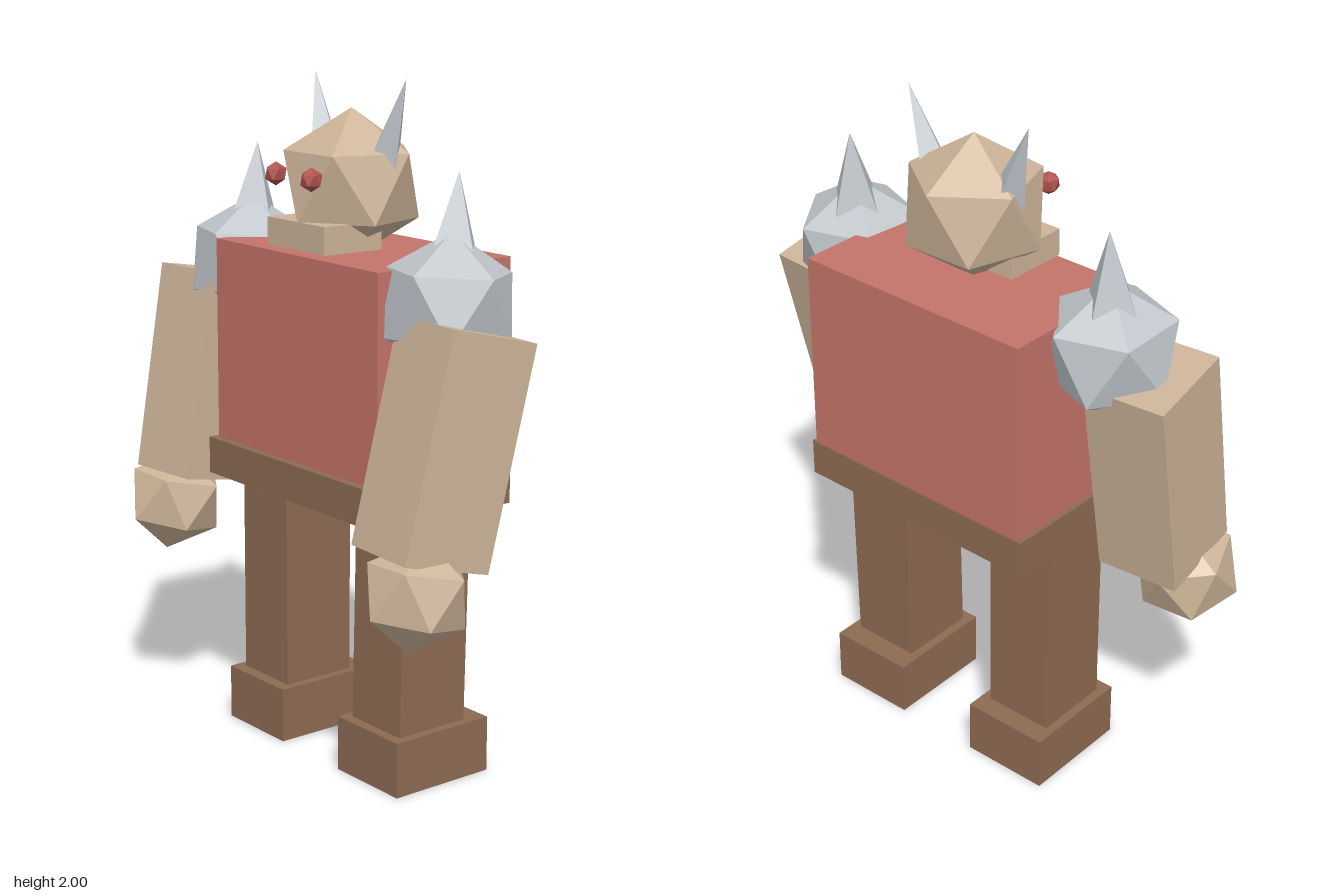
import * as THREE from 'three';

const mat = (name, color) => {
  const m = new THREE.MeshStandardMaterial({ color, flatShading: true });
  m.name = name;
  return m;
};

export function createModel() {
  const skin = mat('skin', 0xcdb499);
  const red = mat('tunicRed', 0xc4746a);
  const brown = mat('leatherBrown', 0x8e6b53);
  const steel = mat('steel', 0xc0c6cb);
  const eyeRed = mat('eyeRed', 0xb0524c);
  const model = new THREE.Group();
  model.name = 'ogre';

  const add = (name, geometry, material, pos) => {
    const mesh = new THREE.Mesh(geometry, material);
    mesh.name = name;
    mesh.position.set(...pos);
    model.add(mesh);
    return mesh;
  };

  const box = (name, material, size, pos, rx = 0, ry = 0) => {
    const mesh = add(name, new THREE.BoxGeometry(...size), material, pos);
    mesh.rotation.set(rx, ry, 0, 'YXZ');
    return mesh;
  };

  // Rotation frame with y along the pole and z towards a neighbouring corner
  const frame = (pole, side) => {
    const y = pole.clone().normalize();
    const x = y.clone().cross(side).normalize();
    return new THREE.Matrix4().makeBasis(x, y, x.clone().cross(y));
  };
  const t = (1 + Math.sqrt(5)) / 2;
  const baseFrame = frame(new THREE.Vector3(0, 1, t), new THREE.Vector3(0, -1, t)).invert();

  // Twenty-sided lump with one corner along pole and the next towards side
  const lump = (name, material, radius, pos, pole, side) => {
    const g = new THREE.IcosahedronGeometry(radius, 0);
    g.applyMatrix4(frame(new THREE.Vector3(...pole), new THREE.Vector3(...side)).multiply(baseFrame));
    return add(name, g, material, pos);
  };

  // Four-sided spike from its base centre to its tip
  const spike = (name, radius, base, tip) => {
    const a = new THREE.Vector3(...base), b = new THREE.Vector3(...tip);
    const dir = b.clone().sub(a);
    const g = new THREE.ConeGeometry(radius, dir.length(), 4);
    const mesh = add(name, g, steel, a.add(b).multiplyScalar(0.5).toArray());
    mesh.quaternion.setFromUnitVectors(new THREE.Vector3(0, 1, 0), dir.normalize());
  };

  // Body
  box('torso', red, [0.77, 0.61, 0.47], [0, 1.205, -0.105], 0, -0.018);
  box('belt', brown, [0.8, 0.11, 0.495], [0, 0.855, -0.093], 0, -0.018);

  // Head
  const a = Math.PI / 5;
  lump('head', skin, 0.215, [0.005, 1.695, -0.07], [0, 1, 0], [Math.sin(a), 0, Math.cos(a)]);
  box('jaw', skin, [0.27, 0.08, 0.2], [-0.005, 1.562, 0.02], 0, -0.02);

  for (const s of [-1, 1]) {
    const left = s > 0;
    const side = left ? 'left' : 'right';

    // Face
    lump(side + 'Eye', eyeRed, 0.034, [left ? 0.08 : -0.1, 1.728, left ? 0.13 : 0.118], [0, 1, 0], [0, 0, 1]);
    spike(side + 'Horn', 0.055, [s * 0.13, 1.765, -0.085], [s * 0.22, 2.0, left ? -0.09 : -0.115]);

    // Legs
    box(side + 'Leg', brown, [0.215, 0.66, 0.24], [s * 0.27, 0.475, -0.08], left ? -0.02 : 0);
    box(side + 'Foot', brown, [0.27, 0.165, 0.34], [s * 0.27, 0.083, -0.092]);

    // Arms
    box(side + 'Arm', skin, [0.25, 0.63, 0.28], [s * 0.572, 1.065, left ? 0.065 : 0.025],
      left ? -0.24 : -0.175, -s * 0.08);
    lump(side + 'Hand', skin, 0.158, [s * 0.613, left ? 0.68 : 0.67, left ? 0.19 : 0.135],
      [s * 0.03, -0.97, 0.2], [s * -0.05, 0.2, 0.97]);

    // Shoulder armour
    lump(side + 'ShoulderPad', steel, 0.2, [left ? 0.482 : -0.46, 1.42, left ? -0.025 : -0.053],
      [0.89, 0.45, 0], [0.25, 0.5, 0.83]);
    spike(side + 'ShoulderSpike', 0.09, [s * 0.47, 1.53, left ? -0.05 : -0.07], [s * 0.467, 1.775, left ? -0.07 : -0.085]);
  }

  return model;
}
